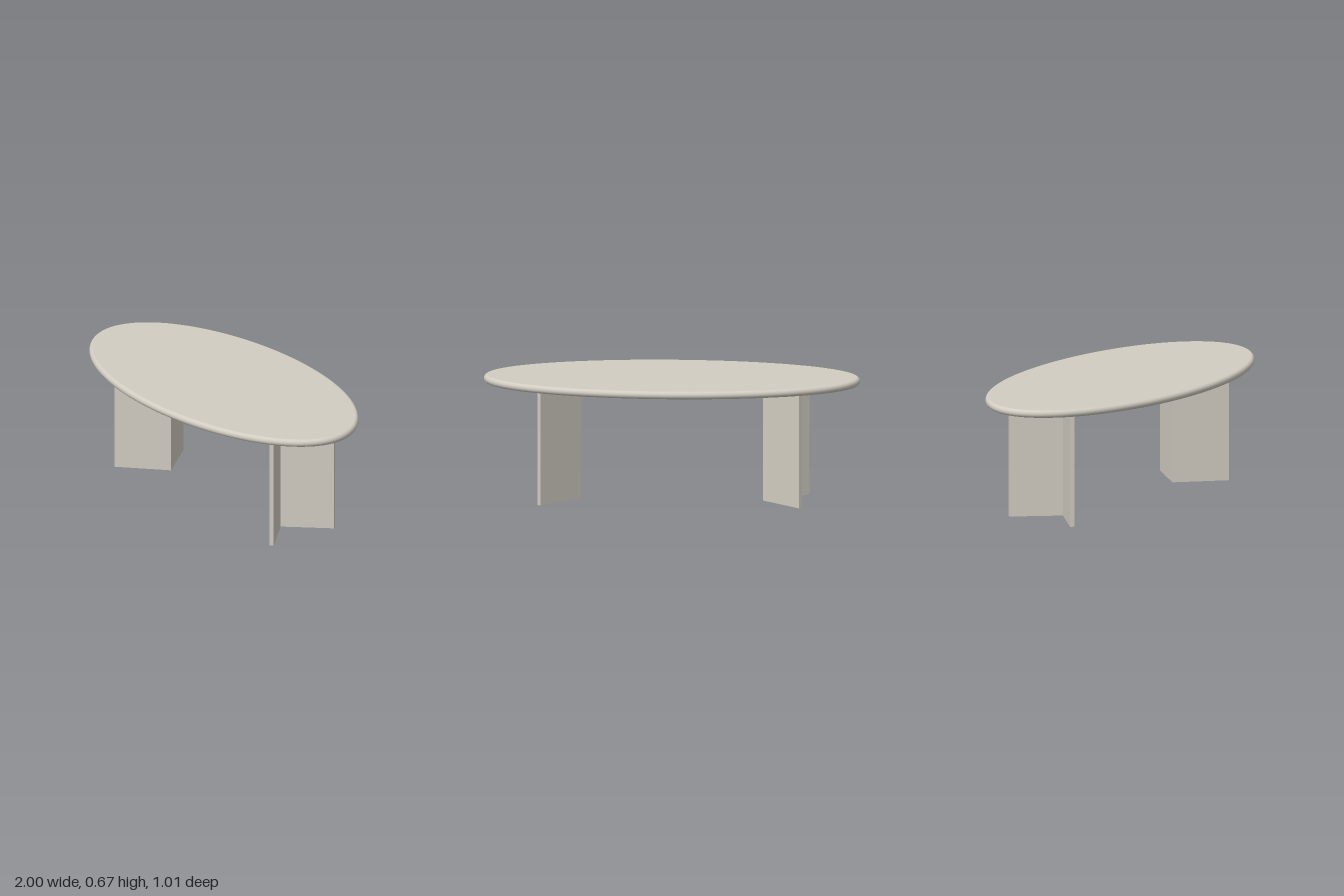
import * as THREE from 'three';
import { mergeVertices } from 'three/addons/utils/BufferGeometryUtils.js';

const HALF_WIDTH = 1, HALF_DEPTH = 0.505;
const TOP_Y = 0.667, UNDERSIDE_Y = 0.625;

// Oval slab with a rounded rim of even width all the way round
function ovalTop() {
  const r = (TOP_Y - UNDERSIDE_Y) / 2;
  const steps = 12;
  const profile = [new THREE.Vector2(0, UNDERSIDE_Y)];
  for (let i = 0; i <= steps; i++) {
    const a = -Math.PI / 2 + (Math.PI * i) / steps;
    profile.push(new THREE.Vector2(HALF_WIDTH - r + r * Math.cos(a), UNDERSIDE_Y + r + r * Math.sin(a)));
  }
  profile.push(new THREE.Vector2(0, TOP_Y));

  let geometry = new THREE.LatheGeometry(profile, 128);
  const p = geometry.attributes.position;
  for (let i = 0; i < p.count; i++) {
    const radius = Math.hypot(p.getX(i), p.getZ(i));
    if (radius < 1e-4) continue;
    p.setZ(i, (p.getZ(i) / radius) * (radius - HALF_WIDTH + HALF_DEPTH));
  }
  geometry.deleteAttribute('uv');
  geometry.deleteAttribute('normal');
  geometry = mergeVertices(geometry, 1e-5);
  geometry.computeVertexNormals();
  return geometry;
}

// Two upright panels meeting in a V that opens outward; plan given as [x, z]
const LEG_PLAN = [
  [0.483, -0.004], [0.702, 0.209], [0.718, 0.192],
  [0.515, 0], [0.703, -0.215], [0.687, -0.232],
];

function legGeometry(side) {
  const shape = new THREE.Shape(LEG_PLAN.map(([x, z]) => new THREE.Vector2(side * x, -z)));
  const geometry = new THREE.ExtrudeGeometry(shape, { depth: UNDERSIDE_Y + 0.002, bevelEnabled: false });
  return geometry.rotateX(-Math.PI / 2);
}

export function createModel() {
  const model = new THREE.Group();
  model.name = 'ovalTable';
  const stone = new THREE.MeshStandardMaterial({ color: 0xd2cdc2 });
  stone.name = 'warmGrey';

  const top = new THREE.Mesh(ovalTop(), stone);
  top.name = 'tabletop';
  model.add(top);

  // Mirrored pair of legs
  for (const side of [1, -1]) {
    const leg = new THREE.Mesh(legGeometry(side), stone);
    leg.name = side > 0 ? 'leftLeg' : 'rightLeg';
    leg.position.x = -0.002;
    model.add(leg);
  }
  return model;
}
